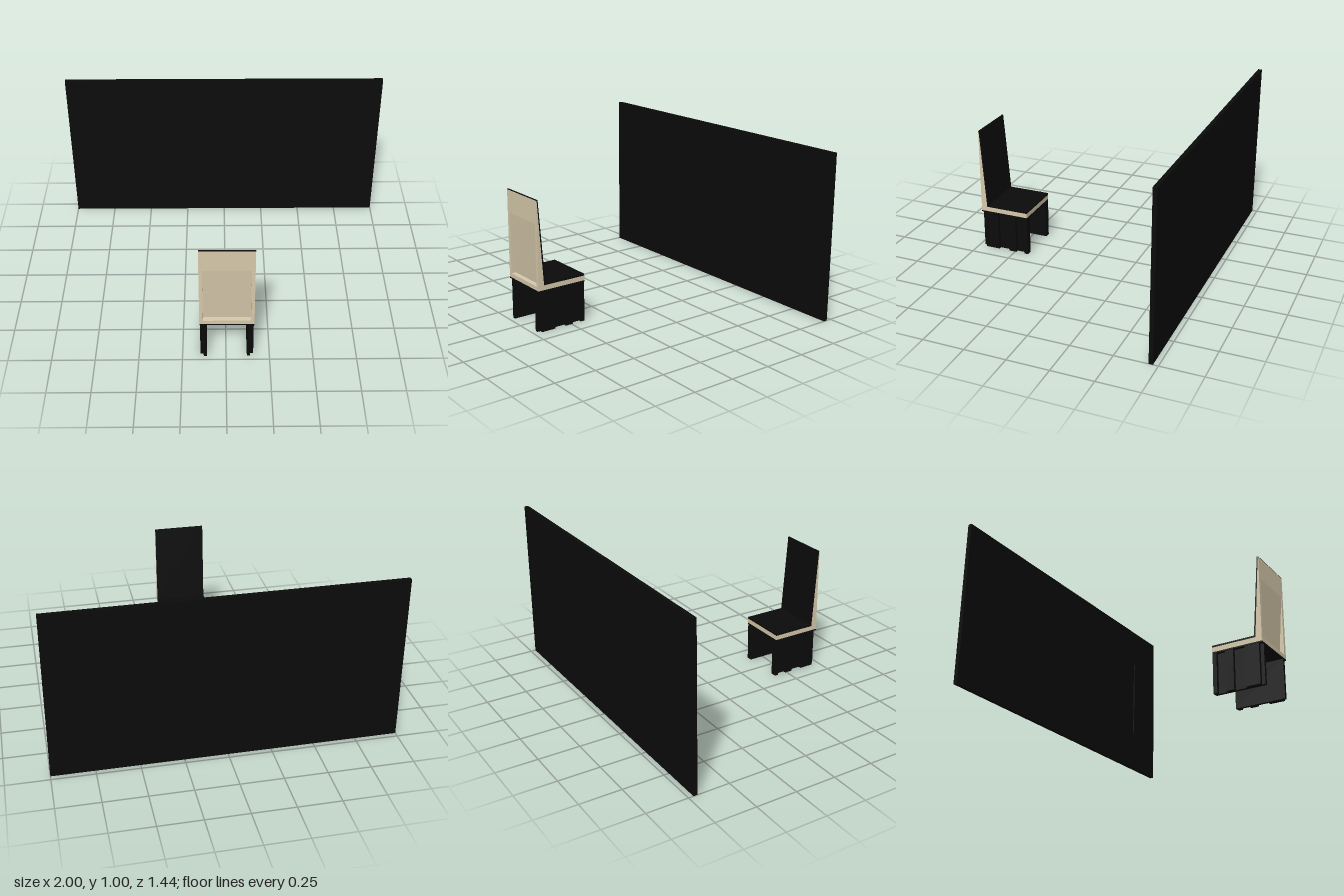
import * as THREE from 'three';

const black = new THREE.MeshStandardMaterial({ color: 0x0b0b0b });
const cream = new THREE.MeshStandardMaterial({ color: 0xd8caac });

function box(name, mat, x0, x1, y0, y1, z0, z1) {
  const m = new THREE.Mesh(new THREE.BoxGeometry(x1 - x0, y1 - y0, z1 - z0), mat);
  m.position.set((x0 + x1) / 2, (y0 + y1) / 2, (z0 + z1) / 2);
  m.name = name;
  return m;
}

// Extrudes a [z, y] side profile across x0..x1
function sideExtrude(name, mat, points, x0, x1) {
  const shape = new THREE.Shape(points.map(p => new THREE.Vector2(...p)));
  const g = new THREE.ExtrudeGeometry(shape, { depth: x1 - x0, bevelEnabled: false });
  g.rotateY(-Math.PI / 2).translate(x1, 0, 0);
  const m = new THREE.Mesh(g, mat);
  m.name = name;
  return m;
}

// Wall panel with a shallow rectangular recess in its front
function createWall() {
  const wall = new THREE.Group();
  wall.name = 'wall';
  const shape = new THREE.Shape([[-1, 0], [1, 0], [1, 1], [-1, 1]].map(p => new THREE.Vector2(...p)));
  shape.holes.push(new THREE.Path([[0, 0.25], [0, 0.755], [0.75, 0.755], [0.75, 0.25]].map(p => new THREE.Vector2(...p))));
  const front = new THREE.Mesh(new THREE.ExtrudeGeometry(shape, { depth: 0.007, bevelEnabled: false }), black);
  front.position.z = -0.703;
  front.name = 'wallFront';
  wall.add(front, box('wallBack', black, -1, 1, 0, 1, -0.72, -0.703));
  return wall;
}

function createChair() {
  const chair = new THREE.Group();
  chair.name = 'chair';
  const X0 = -0.15, X1 = 0.16, Z0 = 0.41, Z1 = 0.72;

  // Cream shell: solid edges, middle hollowed by a tapering recess in the back
  const inner = [[0.717, 0.775], [0.682, 0.279], [Z0, 0.279]];
  const solid = [[Z0, 0.25], [Z1, 0.25], [Z1, 0.775], ...inner];
  const hollow = [[Z0, 0.25], [Z1, 0.25], [Z1, 0.275], [0.691, 0.275], [Z1, 0.64], [Z1, 0.775], ...inner];
  chair.add(
    sideExtrude('shellEdgeRight', cream, solid, X0, -0.13),
    sideExtrude('shellMiddle', cream, hollow, -0.13, 0.14),
    sideExtrude('shellEdgeLeft', cream, solid, 0.14, X1)
  );

  // Black lining over the seat and backrest
  chair.add(sideExtrude('lining', black, [
    [Z0, 0.279], [0.682, 0.279], [0.717, 0.775], [Z1, 0.775], [Z1, 0.778],
    [0.711, 0.778], [0.673, 0.29], [Z0, 0.29]
  ], X0, X1));

  chair.add(box('seatUnderside', black, X0, X1, 0.242, 0.25, Z0, Z1));

  // Side supports: flat inside, vertical ribs outside
  for (const s of [-1, 1]) {
    const support = new THREE.Group();
    support.name = s < 0 ? 'supportRight' : 'supportLeft';
    const c = 0.005;
    const span = (a, b) => (s > 0 ? [c + a, c + b] : [c - b, c - a]);
    support.add(box('supportPanel', black, ...span(0.115, 0.133), 0, 0.242, Z0, Z1));
    for (const [a, b] of [[0.41, 0.435], [0.49, 0.54], [0.61, 0.7]])
      support.add(box('supportRib', black, ...span(0.133, 0.152), 0, 0.242, a, b));
    chair.add(support);
  }
  return chair;
}

export function createModel() {
  const model = new THREE.Group();
  model.name = 'chairAndWall';
  model.add(createWall(), createChair());
  return model;
}
